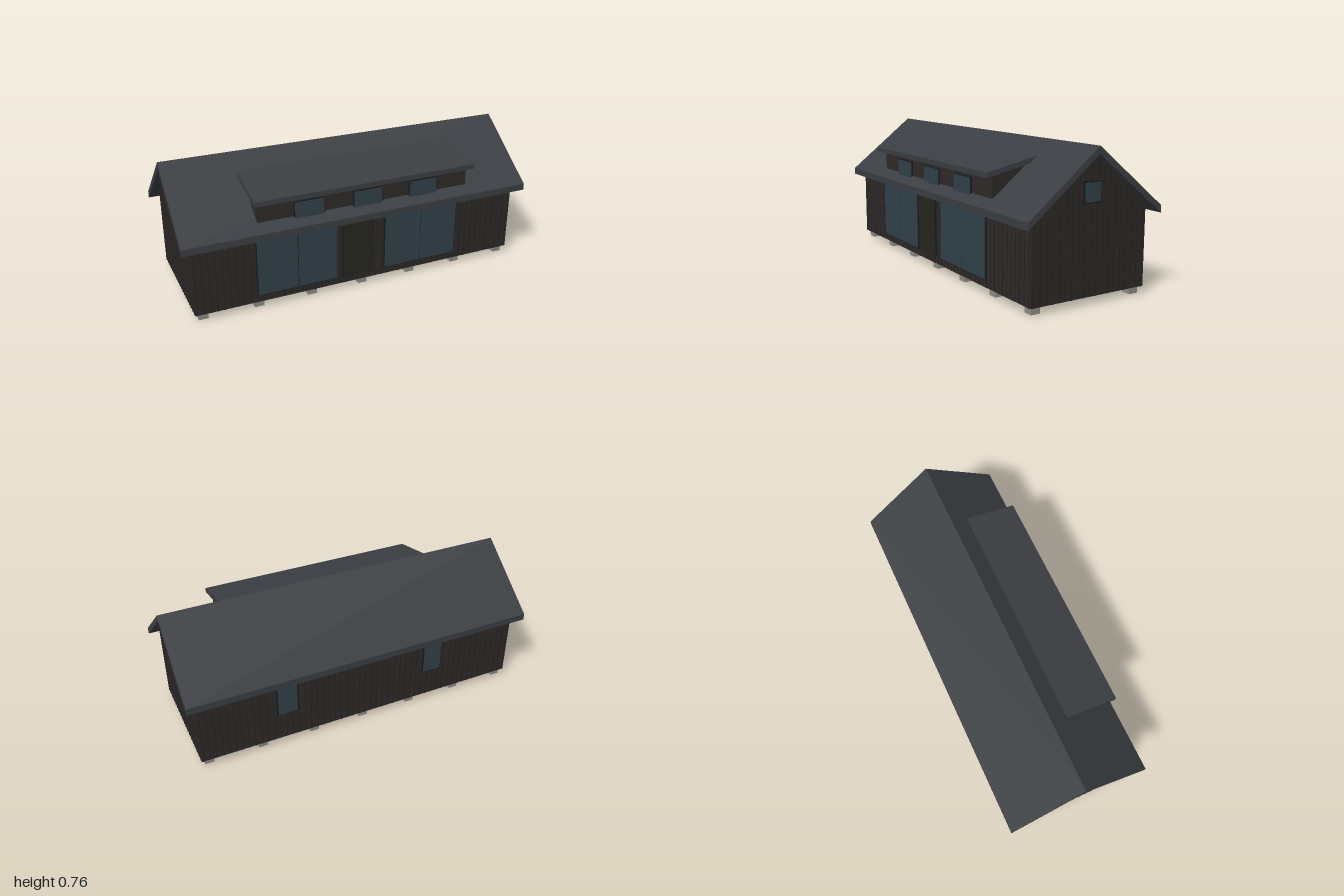
import * as THREE from 'three';

const mat = (color) => new THREE.MeshStandardMaterial({ color });

// Half sizes of the house and the line of the roof's underside
const HX = 0.95, HZ = 0.34, FLOOR = 0.038;
const SLOPE = 0.794, RIDGE = 0.725, ROOF_T = 0.037;
const underside = (z) => RIDGE - SLOPE * Math.abs(z);

export function createModel() {
  const house = new THREE.Group();
  house.name = 'cabin';
  const wallMat = mat(0x2d2a28), battenMat = mat(0x262321), roofMat = mat(0x3b3e42);
  const frameMat = mat(0x1b1c1e), glassMat = mat(0x314049), doorMat = mat(0x25261d);
  const footMat = mat(0x8c8a82);

  const add = (name, geometry, material, parent = house) => {
    const mesh = new THREE.Mesh(geometry, material);
    mesh.name = name;
    parent.add(mesh);
    return mesh;
  };
  const group = (name) => {
    const g = new THREE.Group();
    g.name = name;
    house.add(g);
    return g;
  };
  const box = (name, w, h, d, x, y, z, material, parent) => {
    const m = add(name, new THREE.BoxGeometry(w, h, d), material, parent);
    m.position.set(x, y, z);
    return m;
  };
  // Solid with a [z, y] outline running along x
  const prism = (name, outline, x0, x1, material, parent) => {
    const shape = new THREE.Shape(outline.map(([z, y]) => new THREE.Vector2(-z, y)));
    const g = new THREE.ExtrudeGeometry(shape, { depth: x1 - x0, bevelEnabled: false });
    g.rotateY(Math.PI / 2).translate(x0, 0, 0);
    return add(name, g, material, parent);
  };

  // Gabled body
  prism('walls', [[HZ, FLOOR], [HZ, underside(HZ)], [0, RIDGE], [-HZ, underside(HZ)], [-HZ, FLOOR]],
    -HX + 0.002, HX - 0.002, wallMat);

  // Main roof, with plumb-cut eaves
  const E = 0.393;
  prism('mainRoof', [
    [E, underside(E)], [E, underside(E) + ROOF_T], [0, RIDGE + ROOF_T],
    [-E, underside(E) + ROOF_T], [-E, underside(E)], [0, RIDGE],
  ], -1, 1, roofMat);

  // Dormer
  prism('dormerWalls', [[HZ, 0.47], [HZ, 0.612], [0.125, 0.656], [0.125, 0.635]], -0.6, 0.627, wallMat);
  prism('dormerRoof', [[0.386, 0.598], [0.386, 0.625], [0.09, 0.688], [0.09, 0.661]], -0.623, 0.65, roofMat);

  // Cladding battens on all four walls
  const battens = group('battens');
  const STEP = 0.036, BW = 0.005, BD = 0.004;
  const nx = 26, nz = 9;
  for (let i = -nx; i <= nx; i++) {
    const top = underside(HZ) + 0.005;
    for (const s of [-1, 1]) {
      box('longWallBatten', BW, top - FLOOR, BD, i * STEP, (top + FLOOR) / 2, s * HZ, battenMat, battens);
    }
  }
  for (let i = -nz; i <= nz; i++) {
    const z = (i + 0.5) * STEP - STEP / 2 * (1 - 0), top = underside(z) + 0.005;
    for (const s of [-1, 1]) {
      box('gableBatten', BD, top - FLOOR, BW, s * (HX - 0.002), (top + FLOOR) / 2, z, battenMat, battens);
    }
  }

  // Framed opening: backing frame with one or more panels standing slightly proud
  const opening = (name, x, y, z, turn, w, h, panels, panelMat, border = 0.008) => {
    const g = group(name);
    box('frame', w, h, 0.014, 0, 0, 0, frameMat, g);
    const pw = (w - border * (panels + 1)) / panels;
    for (let i = 0; i < panels; i++) {
      const px = -w / 2 + border + pw / 2 + i * (pw + border);
      box('panel', pw, h - 2 * border, 0.016, px, 0, 0.004, panelMat, g);
    }
    g.position.set(x, y, z);
    g.rotation.y = turn;
  };

  // Front: two glazed sliding doors either side of the entrance
  const doorY = 0.26, doorH = 0.364;
  opening('leftSlidingDoor', 0.347, doorY, HZ, 0, 0.456, doorH, 2, glassMat, 0.006);
  opening('rightSlidingDoor', -0.388, doorY, HZ, 0, 0.456, doorH, 2, glassMat, 0.006);
  opening('entranceDoor', -0.04, doorY, HZ, 0, 0.186, doorH, 1, doorMat, 0.006);

  // Dormer windows
  for (const x of [-0.318, 0.014, 0.349]) {
    opening('dormerWindow', x, 0.525, HZ, 0, 0.172, 0.1, 1, glassMat, 0.006);
  }

  // Back windows
  for (const x of [0.46, -0.42]) {
    opening('backWindow', x, 0.315, -HZ, Math.PI, 0.122, 0.23, 1, glassMat);
  }

  // Gable windows
  for (const s of [-1, 1]) {
    opening('gableWindow', s * HX, 0.544, 0, s * Math.PI / 2, 0.106, 0.107, 1, glassMat);
  }

  // Foundation blocks in two rows
  const feet = group('foundationBlocks');
  for (let i = -3; i <= 3; i++) {
    for (const s of [-1, 1]) {
      box('foundationBlock', 0.052, 0.042, 0.052, i * 0.301, 0.021, s * 0.297, footMat, feet);
    }
  }

  return house;
}
